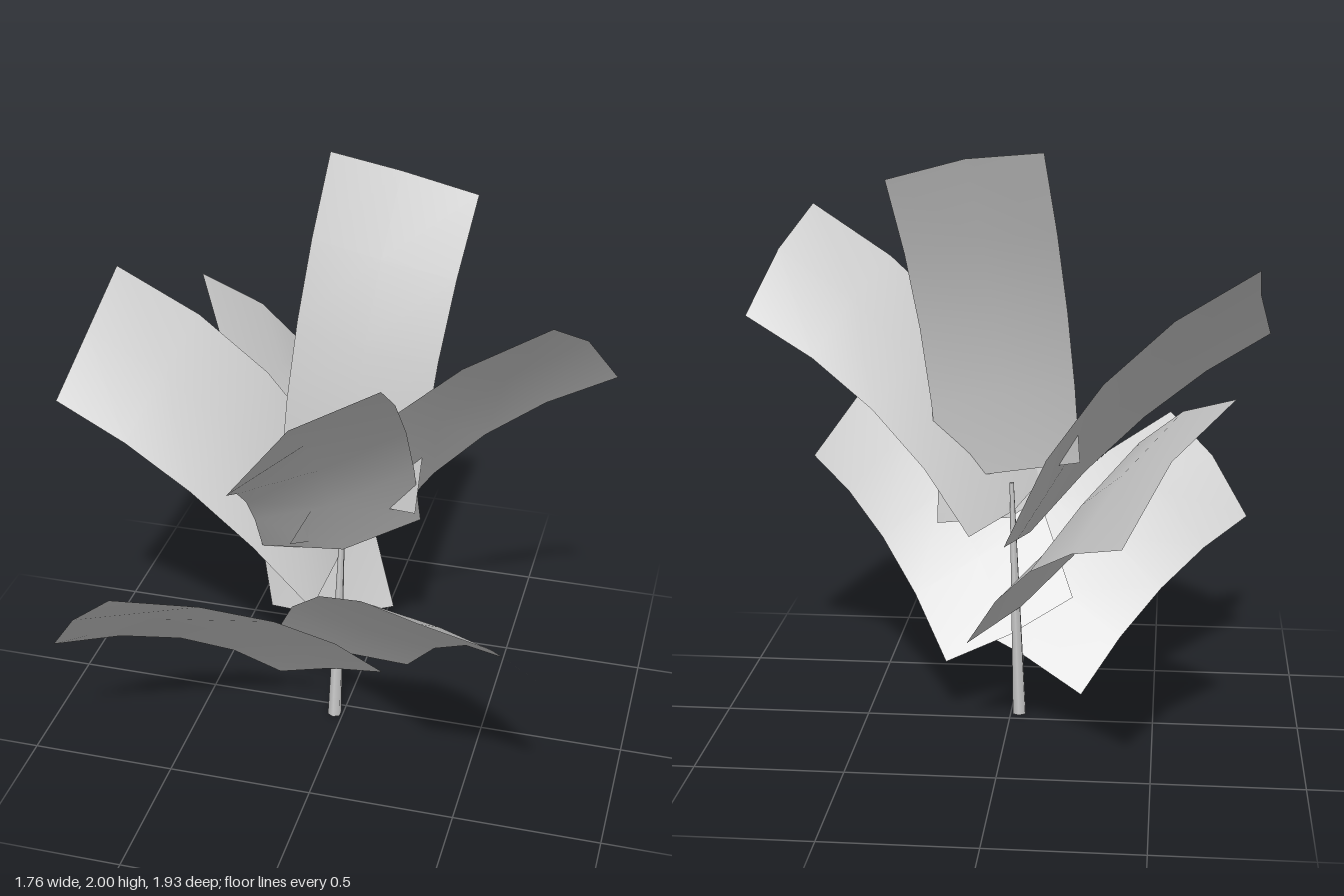
import * as THREE from 'three';

const ROWS = 4;

// Point on the quadratic through p[0], p[1], p[2] at t = 0, 0.5, 1
function along(p, t) {
  const a = 2 * (t - 0.5) * (t - 1), b = 4 * t * (1 - t), c = 2 * t * (t - 0.5);
  return new THREE.Vector3(...[0, 1, 2].map((k) => a * p[0][k] + b * p[1][k] + c * p[2][k]));
}

// Leaf blade between two curved edges, with its midrib lifted by a bulge from base to tip
function leafGeometry(edgeA, edgeB, baseBulge, tipBulge) {
  const pos = [], index = [];
  const b0 = new THREE.Vector3(...baseBulge), b1 = new THREE.Vector3(...tipBulge);
  for (let i = 0; i <= ROWS; i++) {
    const t = i / ROWS;
    const a = along(edgeA, t), b = along(edgeB, t);
    const mid = a.clone().add(b).multiplyScalar(0.5).add(b0.clone().lerp(b1, t));
    pos.push(...a.toArray(), ...mid.toArray(), ...b.toArray());
    if (i === ROWS) break;
    for (let j = 0; j < 2; j++) {
      const k = i * 3 + j;
      index.push(k, k + 3, k + 1, k + 1, k + 3, k + 4);
    }
  }
  const g = new THREE.BufferGeometry();
  g.setAttribute('position', new THREE.Float32BufferAttribute(pos, 3));
  g.setIndex(index);
  g.computeVertexNormals();
  return g;
}

export function createModel() {
  const model = new THREE.Group();
  model.name = 'plant';
  const grey = new THREE.MeshStandardMaterial({ color: 0xcccccc, side: THREE.DoubleSide });
  grey.name = 'plain grey';

  function leaf(name, ...shape) {
    const mesh = new THREE.Mesh(leafGeometry(...shape), grey);
    mesh.name = name;
    model.add(mesh);
  }

  // Low leaves at the front
  leaf('lowRightLeaf',
    [[-0.25, 0.10, -0.01], [-0.52, 0.40, 0.28], [-0.83, 0.57, 0.64]],
    [[0.17, 0.29, 0.15], [-0.12, 0.67, 0.47], [-0.54, 0.92, 0.83]],
    [0, 0.015, 0], [-0.015, 0.025, 0.025]);
  leaf('lowLeftLeaf',
    [[-0.21, 0.40, 0.15], [0.05, 0.84, 0.53], [0.463, 1.10, 0.96]],
    [[0.22, 0.21, -0.02], [0.485, 0.56, 0.29], [0.81, 0.75, 0.70]],
    [0, -0.02, 0], [0.025, 0.03, 0.005]);

  // Low leaf at the back
  leaf('lowBackLeaf',
    [[0.13, 0.34, -0.18], [-0.11, 0.716, -0.53], [-0.41, 0.935, -0.97]],
    [[-0.21, 0.54, 0.20], [-0.44, 1.055, -0.19], [-0.733, 1.325, -0.707]],
    [0, -0.035, 0.02], [0.025, 0.035, 0]);

  // Middle ring of leaves
  leaf('rightLeaf',
    [[0, 0.695, -0.22], [-0.32, 1.24, -0.165], [-0.82, 1.61, -0.10]],
    [[-0.05, 0.60, 0.27], [-0.447, 1.02, 0.31], [-0.88, 1.32, 0.345]],
    [0, 0, 0], [0.015, 0.02, 0.03]);
  leaf('leftLeaf',
    [[-0.125, 0.84, 0.26], [0.21, 1.37, 0.28], [0.713, 1.76, 0.313]],
    [[0.12, 0.716, -0.18], [0.447, 1.13, -0.12], [0.877, 1.43, -0.067]],
    [-0.01, -0.03, 0], [0, 0.035, -0.02]);
  leaf('frontLeaf',
    [[-0.22, 0.82, 0.26], [-0.18, 1.16, 0.54], [-0.118, 1.41, 0.91]],
    [[0.23, 0.75, -0.14], [0.26, 1.315, 0.25], [0.297, 1.72, 0.75]],
    [0, -0.07, 0], [-0.045, 0.035, -0.005]);

  // Tall upright leaf
  leaf('topLeaf',
    [[0.24, 0.86, 0], [0.29, 1.40, -0.08], [0.366, 1.91, -0.29]],
    [[-0.24, 0.94, -0.03], [-0.20, 1.47, -0.12], [-0.135, 2.0, -0.314]],
    [0, -0.01, 0.04], [0, 0.02, 0.032]);

  // Thin tapered stem, leaning slightly towards the top
  const foot = new THREE.Vector3(-0.03, 0, 0.052);
  const tip = new THREE.Vector3(-0.005, 0.85, 0.025);
  const dir = tip.clone().sub(foot);
  const stem = new THREE.Mesh(new THREE.CylinderGeometry(0.008, 0.025, dir.length(), 6), grey);
  stem.name = 'stem';
  stem.position.copy(foot).add(tip).multiplyScalar(0.5);
  stem.quaternion.setFromUnitVectors(new THREE.Vector3(0, 1, 0), dir.normalize());
  model.add(stem);

  return model;
}
